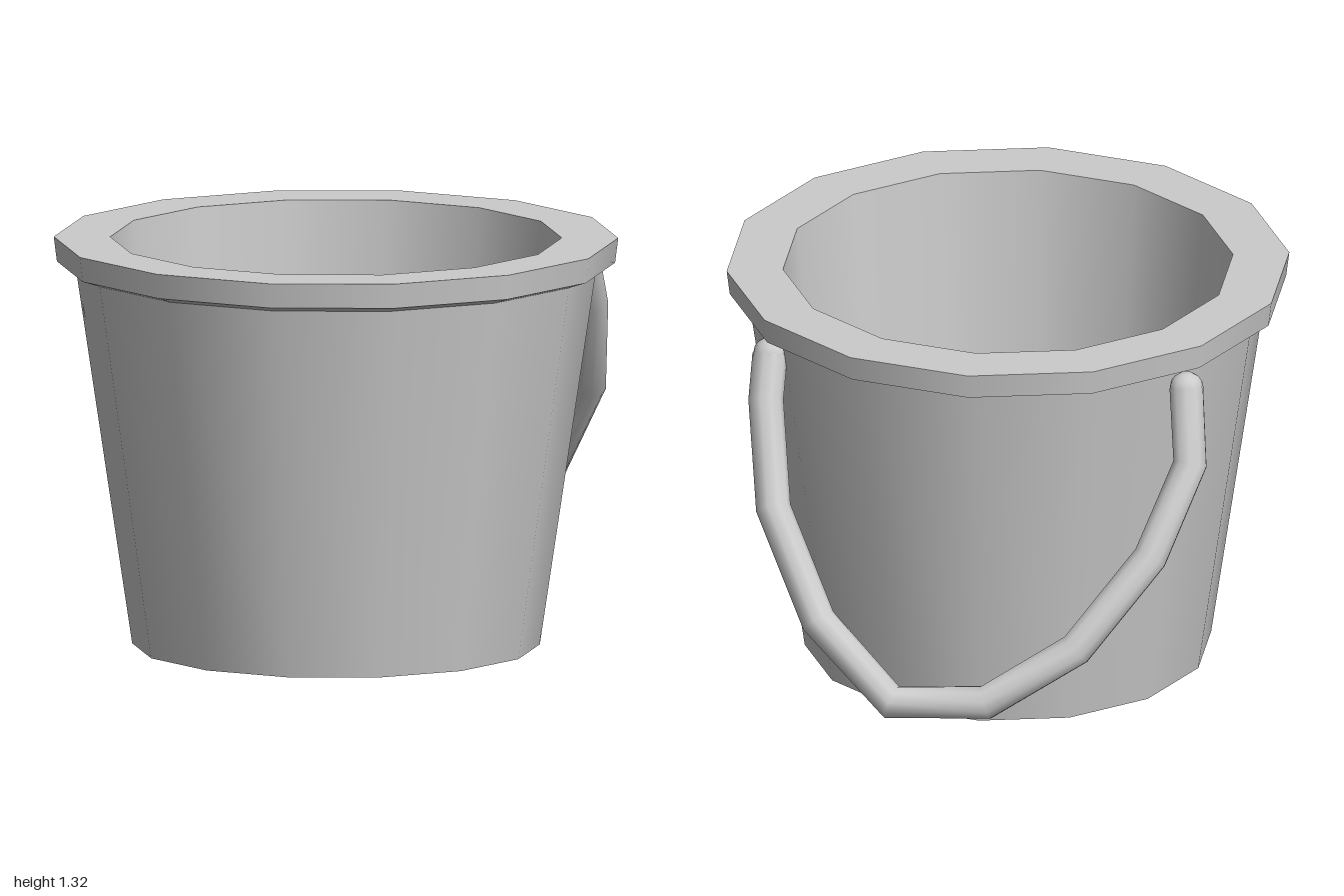
import * as THREE from 'three';

const SIDES = 14;
const BUCKET_Z = 0.117;

// Curve that visits exactly the given points, so the tube bends in straight lengths
class Polyline extends THREE.Curve {
  constructor(points) {
    super();
    this.points = points;
  }
  index(t) {
    return Math.round(t * (this.points.length - 1));
  }
  getPointAt(t, target = new THREE.Vector3()) {
    return target.copy(this.points[this.index(t)]);
  }
  getTangentAt(t, target = new THREE.Vector3()) {
    const p = this.points, i = this.index(t), last = p.length - 1;
    target.set(0, 0, 0);
    if (i > 0) target.add(p[i].clone().sub(p[i - 1]).normalize());
    if (i < last) target.add(p[i + 1].clone().sub(p[i]).normalize());
    return target.normalize();
  }
}

export function createModel() {
  const model = new THREE.Group();
  const material = new THREE.MeshStandardMaterial({ color: 0xcccccc });

  // One band per profile step keeps the rings sharp and the walls smooth
  const bucket = new THREE.Group();
  bucket.name = 'bucket';
  bucket.position.z = BUCKET_Z;
  const profile = [
    ['base', 0, 0],
    ['outerWall', 0.65, 0],
    ['rimUnderside', 0.83, 1.215],
    ['rimSide', 0.89, 1.235],
    ['rimTop', 0.9, 1.315],
    ['innerWall', 0.72, 1.315],
    ['floor', 0.61, 0.05],
    ['end', 0, 0.05],
  ];
  for (let i = 0; i < profile.length - 1; i++) {
    const [name, r0, y0] = profile[i];
    const [, r1, y1] = profile[i + 1];
    const band = new THREE.LatheGeometry(
      [new THREE.Vector2(r0, y0), new THREE.Vector2(r1, y1)], SIDES, Math.PI / 2);
    const mesh = new THREE.Mesh(band, material);
    mesh.name = name;
    bucket.add(mesh);
  }
  model.add(bucket);

  // Carrying handle hanging behind the bucket
  const handle = new THREE.Group();
  handle.name = 'handle';
  const radius = 0.056;
  const path = [
    [-0.77, 1.17, -0.30], [-0.815, 0.95, -0.385], [-0.75, 0.69, -0.57],
    [-0.57, 0.42, -0.76], [-0.315, 0.25, -0.895], [-0.01, 0.22, -0.94],
    [0.26, 0.44, -0.89], [0.47, 0.74, -0.745], [0.555, 1.04, -0.59],
    [0.57, 1.165, -0.515],
  ].map((p) => new THREE.Vector3(...p));
  const bar = new THREE.Mesh(
    new THREE.TubeGeometry(new Polyline(path), path.length - 1, radius, 10), material);
  bar.name = 'handleBar';
  handle.add(bar);

  // Rounded ends set into the wall under the rim
  for (const end of [path[0], path[path.length - 1]]) {
    const cap = new THREE.Mesh(new THREE.SphereGeometry(radius, 10, 8), material);
    cap.name = 'handleEnd';
    cap.position.copy(end);
    handle.add(cap);
  }
  model.add(handle);

  return model;
}
